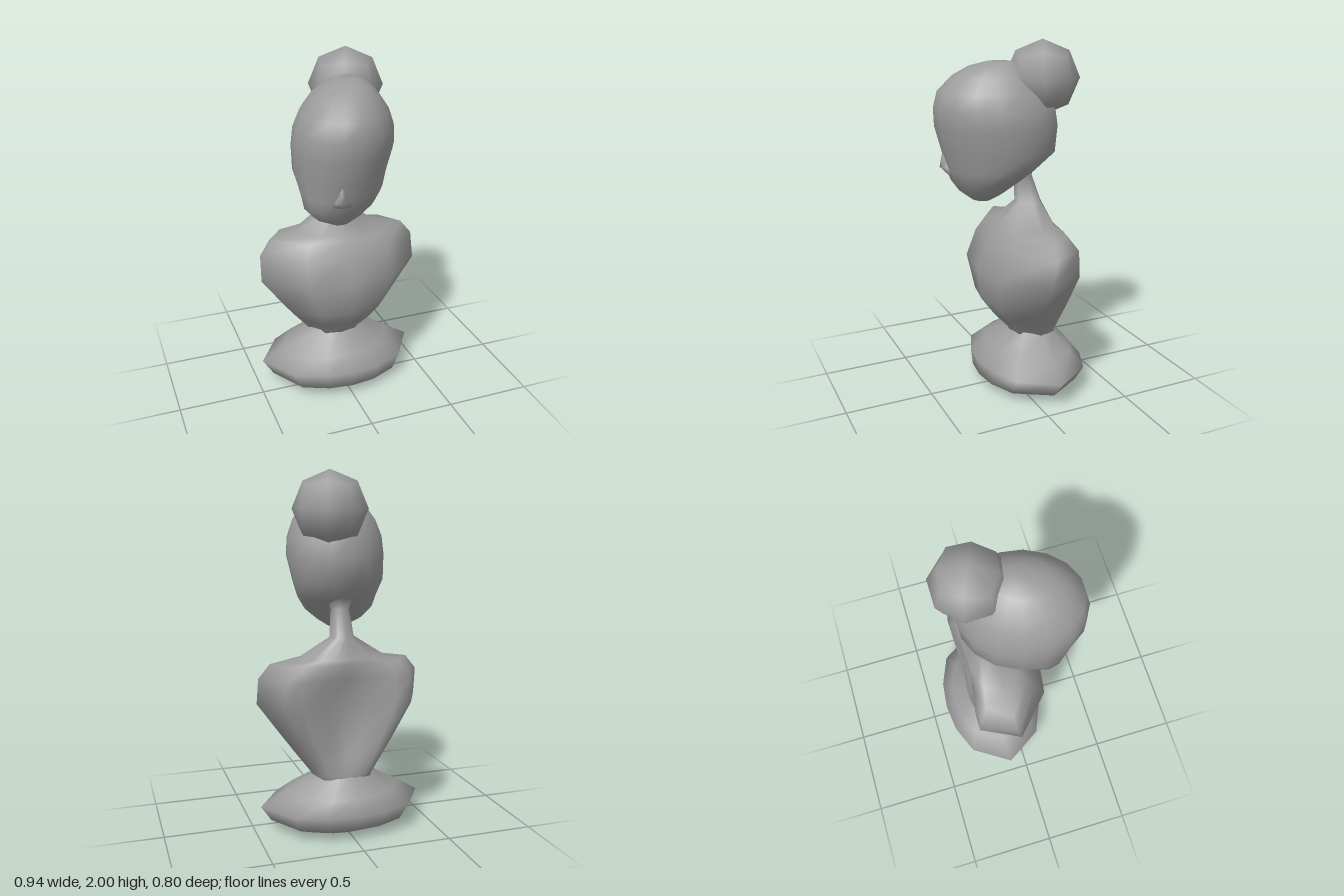
import * as THREE from 'three';

const material = new THREE.MeshStandardMaterial({ color: 0x9c9c9c });

function addMesh(parent, name, geometry) {
  const mesh = new THREE.Mesh(geometry, material);
  mesh.name = name;
  parent.add(mesh);
  return mesh;
}

// Mirrors half a turn of angles (degrees, 0 = front, 180 = back) into a full ring
function fullTurn(half) {
  const mirrored = half.slice(1, -1).reverse().map((a) => 360 - a);
  return [...half, ...mirrored].map(THREE.MathUtils.degToRad);
}

// Closed, smooth loft through horizontal rings, listed from bottom to top.
// Ring: y, half width w, front z, back z, and optionally
// cx (centre x), twist (skews the oval), square (back corner power), dent (hollow along the spine).
function loft(rings, angles) {
  const positions = [], index = [], sides = angles.length;
  for (const { y, w, front, back, cx = 0, twist = 0, square = 1, dent = 0 } of rings) {
    const mid = (front + back) / 2, half = (front - back) / 2;
    for (const t of angles) {
      let c = Math.cos(t + twist);
      if (c < 0) c = -Math.pow(-c, square);
      const hollow = dent * Math.pow(Math.max(0, -Math.cos(t)), 12);
      positions.push(cx + w * Math.sin(t), y, mid + half * c + hollow);
    }
  }
  for (let r = 0; r < rings.length - 1; r++) {
    for (let i = 0; i < sides; i++) {
      const a = r * sides + i, b = r * sides + (i + 1) % sides;
      index.push(a, b, b + sides, a, b + sides, a + sides);
    }
  }
  // End caps
  const last = (rings.length - 1) * sides, count = rings.length * sides;
  for (const ring of [rings[0], rings[rings.length - 1]]) {
    positions.push(ring.cx || 0, ring.y, (ring.front + ring.back) / 2);
  }
  for (let i = 0; i < sides; i++) {
    const j = (i + 1) % sides;
    index.push(count, j, i, count + 1, last + i, last + j);
  }
  const geometry = new THREE.BufferGeometry();
  geometry.setAttribute('position', new THREE.Float32BufferAttribute(positions, 3));
  geometry.setIndex(index);
  geometry.computeVertexNormals();
  return geometry;
}

// Ball made from a cube with two segments per edge, pushed out to a sphere
function cubeBall(radius) {
  const geometry = new THREE.BoxGeometry(1, 1, 1, 2, 2, 2);
  const { position, normal } = geometry.attributes;
  const v = new THREE.Vector3();
  for (let i = 0; i < position.count; i++) {
    v.fromBufferAttribute(position, i).normalize();
    normal.setXYZ(i, v.x, v.y, v.z);
    position.setXYZ(i, v.x * radius, v.y * radius, v.z * radius);
  }
  return geometry;
}

export function createModel() {
  const model = new THREE.Group();
  model.name = 'bust';

  // Oval cushion-shaped foot
  addMesh(model, 'pedestal', loft([
    { y: 0, w: 0.26, front: 0.1, back: -0.25 },
    { y: 0.06, w: 0.41, front: 0.2, back: -0.37 },
    { y: 0.15, w: 0.47, front: 0.205, back: -0.405 },
    { y: 0.23, w: 0.34, front: 0.13, back: -0.345 },
    { y: 0.32, w: 0.18, front: 0, back: -0.25 },
    { y: 0.38, w: 0.15, front: 0, back: -0.22 },
  ], fullTurn([0, 20, 45, 90, 135, 160, 180])));

  // Waist, chest, shoulders with a hollow back, and the slender neck
  addMesh(model, 'torsoAndNeck', loft([
    { y: 0.28, w: 0.17, front: -0.01, back: -0.24, square: 0.6 },
    { y: 0.33, w: 0.18, front: 0.01, back: -0.25, square: 0.5 },
    { y: 0.43, w: 0.255, front: 0.1, back: -0.255, square: 0.3, dent: 0.04 },
    { y: 0.54, w: 0.335, front: 0.18, back: -0.265, square: 0.2, dent: 0.08 },
    { y: 0.73, w: 0.47, front: 0.205, back: -0.275, square: 0.15, dent: 0.1 },
    { y: 0.88, w: 0.465, front: 0.14, back: -0.27, square: 0.2, dent: 0.05 },
    { y: 0.96, w: 0.4, front: 0.09, back: -0.235, square: 0.5 },
    { y: 0.985, w: 0.25, front: 0.06, back: -0.225, square: 0.8 },
    { y: 1.1, w: 0.07, front: -0.035, back: -0.185 },
    { y: 1.25, w: 0.055, front: -0.03, back: -0.13 },
    { y: 1.31, w: 0.08, front: 0, back: -0.14 },
    { y: 1.38, w: 0.15, front: 0.02, back: -0.2 },
  ], fullTurn([0, 32, 90, 130, 145, 165, 180])));

  // Head, turned a little towards its right
  const head = new THREE.Group();
  head.name = 'head';
  model.add(head);
  const twist = 0.18;
  const around = fullTurn([0, 22.5, 45, 67.5, 90, 112.5, 135, 157.5, 180]);
  addMesh(head, 'skull', loft([
    { y: 1.12, w: 0.06, front: 0.2, back: 0.1, cx: -0.06 },
    { y: 1.165, w: 0.14, front: 0.26, back: 0.03, cx: -0.07 },
    { y: 1.23, w: 0.21, front: 0.305, back: -0.04, cx: -0.06 },
    { y: 1.3, w: 0.24, front: 0.335, back: -0.13, cx: -0.04 },
    { y: 1.4, w: 0.27, front: 0.36, back: -0.25, cx: -0.03 },
    { y: 1.54, w: 0.29, front: 0.4, back: -0.255, cx: -0.02 },
    { y: 1.64, w: 0.28, front: 0.405, back: -0.24, cx: -0.02 },
    { y: 1.73, w: 0.245, front: 0.385, back: -0.2, cx: -0.02 },
    { y: 1.81, w: 0.185, front: 0.31, back: -0.14, cx: -0.015 },
    { y: 1.86, w: 0.12, front: 0.23, back: -0.07, cx: 0 },
    { y: 1.885, w: 0.06, front: 0.13, back: 0, cx: 0.01 },
  ].map((ring) => ({ ...ring, twist })), around));

  // Small pointed nose, wide at the nostrils
  const nose = addMesh(head, 'nose', loft([
    { y: -0.035, w: 0.055, front: 0, back: -0.05 },
    { y: 0, w: 0.04, front: 0.035, back: -0.04 },
    { y: 0.04, w: 0.018, front: 0.028, back: -0.03 },
    { y: 0.1, w: 0.01, front: 0.015, back: -0.02 },
  ], fullTurn([0, 45, 90, 135, 180])));
  nose.position.set(-0.12, 1.31, 0.333);
  nose.rotation.y = -0.3;

  // Hair bun
  const bun = addMesh(head, 'hairBun', cubeBall(0.205));
  bun.position.set(0.08, 1.795, -0.155);
  bun.rotation.y = -Math.PI / 8;

  return model;
}
